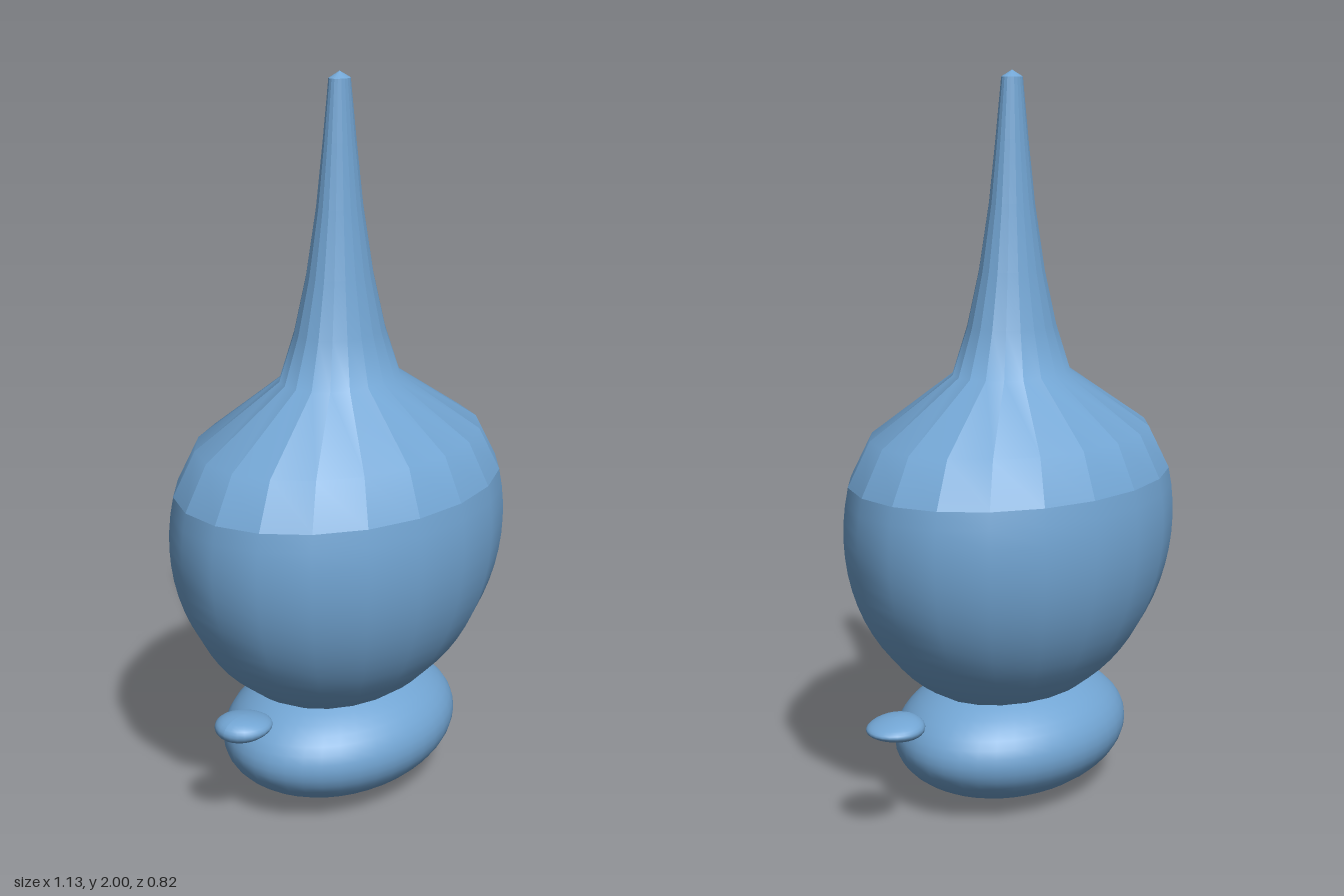
import * as THREE from 'three';
import { mergeGeometries } from 'three/addons/utils/BufferGeometryUtils.js';

const SIDES = 20;
const CENTRE_X = -0.033;
const DEPTH = 0.77; // front-to-back squash of head and hat

export function createModel() {
  const model = new THREE.Group();
  const blue = new THREE.MeshStandardMaterial({ color: 0x72a5d3 });

  function add(name, geometry, x, y) {
    const mesh = new THREE.Mesh(geometry, blue);
    mesh.name = name;
    mesh.position.set(x, y, 0);
    model.add(mesh);
    return mesh;
  }

  // Squat rounded body
  const body = new THREE.SphereGeometry(1, 40, 24);
  body.scale(0.383, 0.177, 0.294);
  add('body', body, CENTRE_X, 0.177);

  // Round head, cut off at the hat brim
  const brim = Math.asin(0.13 / 0.53);
  const headProfile = [];
  for (let i = 0; i <= 20; i++) {
    const a = -Math.PI / 2 + (i / 20) * (brim + Math.PI / 2);
    headProfile.push(new THREE.Vector2(i ? 0.535 * Math.cos(a) : 0, 0.53 * Math.sin(a)));
  }
  const head = new THREE.LatheGeometry(headProfile, SIDES);
  head.scale(1, 1, DEPTH);
  add('head', head, CENTRE_X, 0.78);

  // Tall pointed hat: panels smooth up their length, with creases between them
  const hatProfile = [
    [0.519, 0.91], [0.45, 1.03], [0.19, 1.192], [0.143, 1.32],
    [0.105, 1.47], [0.073, 1.65], [0.052, 1.82], [0.034, 1.982],
  ].map(([r, y]) => new THREE.Vector2(r, y));
  const tipProfile = [new THREE.Vector2(0.034, 1.982), new THREE.Vector2(0, 2)];
  const panels = [];
  const step = (Math.PI * 2) / SIDES;
  for (let i = 0; i < SIDES; i++) {
    for (const profile of [hatProfile, tipProfile]) {
      const panel = new THREE.LatheGeometry(profile, 1, i * step, step);
      panel.scale(1, 1, DEPTH);
      panel.computeVertexNormals();
      panels.push(panel);
    }
  }
  add('hat', mergeGeometries(panels), CENTRE_X, 0);

  // Small floating hands, both thinning towards +x
  for (const [name, x] of [['leftHand', 0.483], ['rightHand', -0.457]]) {
    const hand = new THREE.SphereGeometry(1, 24, 16);
    const p = hand.attributes.position;
    for (let i = 0; i < p.count; i++) p.setY(i, p.getY(i) * (1 - 0.3 * p.getX(i)));
    hand.scale(0.081, 0.031, 0.075);
    hand.computeVertexNormals();
    add(name, hand, x, 0.318);
  }

  return model;
}
